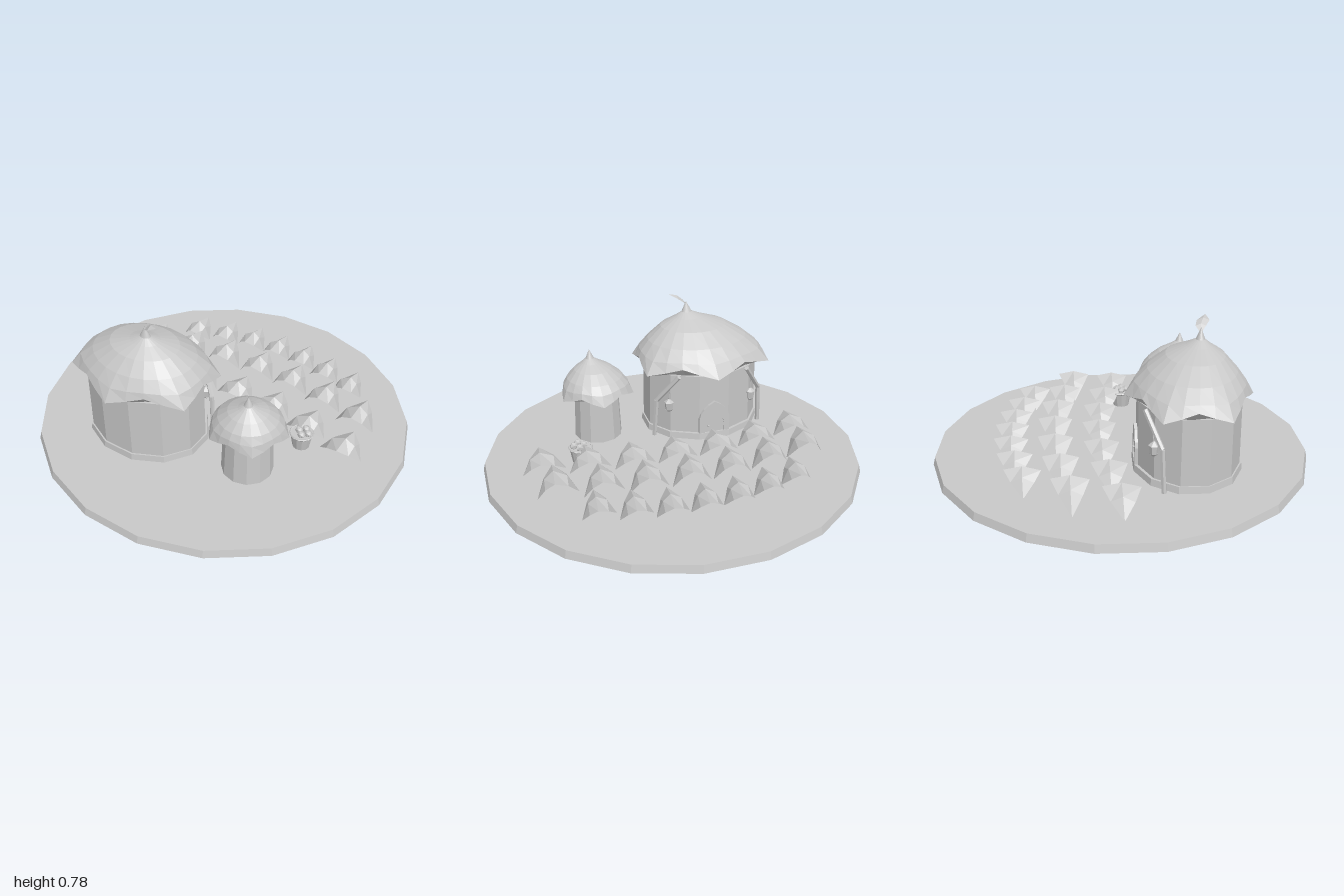
import * as THREE from 'three';

const stone = new THREE.MeshStandardMaterial({ color: 0xc8c8c8, side: THREE.DoubleSide });
stone.name = 'pale grey';

// Faceted mesh: every face gets its own normal
function part(name, geometry, parent, x = 0, y = 0, z = 0) {
  const flat = geometry.index ? geometry.toNonIndexed() : geometry;
  flat.computeVertexNormals();
  const mesh = new THREE.Mesh(flat, stone);
  mesh.name = name;
  mesh.position.set(x, y, z);
  parent.add(mesh);
  return mesh;
}

// Skin between equal-length rows of points
function loft(rows) {
  const n = rows[0].length, index = [];
  for (let i = 0; i < rows.length - 1; i++) {
    for (let j = 0; j < n - 1; j++) {
      const a = i * n + j, c = a + n;
      index.push(a, c, a + 1, a + 1, c, c + 1);
    }
  }
  const geometry = new THREE.BufferGeometry();
  geometry.setAttribute('position', new THREE.Float32BufferAttribute(rows.flat(2), 3));
  geometry.setIndex(index);
  return geometry;
}

// Straight round bar between two points
function bar(name, from, to, radius, parent) {
  const a = new THREE.Vector3(...from), b = new THREE.Vector3(...to);
  const mesh = part(name, new THREE.CylinderGeometry(radius, radius, a.distanceTo(b), 6), parent);
  mesh.position.copy(a).add(b).multiplyScalar(0.5);
  mesh.quaternion.setFromUnitVectors(new THREE.Vector3(0, 1, 0), b.sub(a).normalize());
}

// Lobed thatch: rings of [height, scale, lift at lobe gaps, inset at lobe gaps, lean to apex]
function thatch({ rx, rz, lobes, lean, rings }) {
  const steps = lobes * 4;
  return loft(rings.map(([y, s, lift, inset, t]) =>
    Array.from({ length: steps + 1 }, (_, j) => {
      const a = (j % steps) / steps * Math.PI * 2;
      const gap = Math.abs(Math.sin(a * lobes / 2));
      const r = s * (1 - inset * gap);
      return [lean[0] * t + Math.sin(a) * rx * r, y + lift * gap * gap, lean[1] * t - Math.cos(a) * rz * r];
    }).reverse()));
}

function archShape(w, h, target = new THREE.Shape()) {
  target.moveTo(-w, 0);
  target.lineTo(w, 0);
  target.lineTo(w, h * 0.55);
  target.quadraticCurveTo(w * 0.9, h * 0.82, 0, h);
  target.quadraticCurveTo(-w * 0.9, h * 0.82, -w, h * 0.55);
  return target;
}

// Folded leaf whose two ends droop to the soil:
// sections of [position along, half depth, height share, drop of the edges, shift in z]
function cropLeaf(w, h) {
  const sections = [[-1, 0, 0, 0, 0.008], [-0.45, 0.056, 0.74, 0.027, 0.003], [0.18, 0.09, 1, 0.02, 0],
    [0.62, 0.056, 0.74, 0.027, -0.003], [1, 0, 0, 0, -0.004]];
  return loft(sections.map(([t, half, share, drop, z]) => {
    const x = t * w, y = 0.035 + (h - 0.035) * share, skew = half * 0.08;
    return [[x - skew, y - drop, z + half], [x, y, z], [x + skew, y - drop, z - half]];
  }));
}

export function createModel() {
  const model = new THREE.Group();
  model.name = 'farmyard';

  // Ground disc
  const ground = new THREE.CylinderGeometry(1.002, 1.0125, 0.04, 20);
  ground.rotateY(Math.PI / 20).scale(1, 1, 0.979);
  part('ground', ground, model, 0, 0.02, 0);

  // Big hut
  const hut = new THREE.Group();
  hut.name = 'bigHut';
  hut.position.set(-0.263, 0, 0.325);
  model.add(hut);
  const wall = new THREE.CylinderGeometry(0.323, 0.328, 0.38, 12).rotateY(Math.PI / 12);
  part('hutWall', wall.scale(1, 1, 0.81), hut, 0, 0.225, 0);
  const plinth = new THREE.CylinderGeometry(0.335, 0.34, 0.035, 12).rotateY(Math.PI / 12);
  part('hutPlinth', plinth.scale(1, 1, 0.83), hut, 0, 0.0575, -0.004);
  part('hutRoof', thatch({
    rx: 0.41, rz: 0.322, lobes: 6, lean: [0.065, 0.06],
    rings: [
      [0.412, 0.74, 0, 0, 0], [0.415, 1, 0.05, 0.13, 0], [0.485, 0.865, 0.01, 0.05, 0.1],
      [0.55, 0.69, 0, 0.01, 0.25], [0.615, 0.455, 0, 0, 0.5], [0.655, 0.2, 0, 0, 0.8],
      [0.68, 0.07, 0, 0, 0.95], [0.735, 0.004, 0, 0, 1],
    ],
  }), hut);

  // Curled leaf on the roof tip
  const curl = [[0.06, 0.715, 0.058, 0.004], [0.085, 0.75, 0.06, 0.026],
    [0.115, 0.772, 0.075, 0.032], [0.155, 0.777, 0.09, 0.003]];
  part('roofLeaf', loft(curl.map(([x, y, z, w]) =>
    [[x, y - w * 0.4, z + w], [x, y, z], [x, y - w * 0.4, z - w]])), hut);

  // Door at the back of the big hut
  const surround = archShape(0.088, 0.22);
  surround.holes.push(archShape(0.055, 0.16, new THREE.Path()));
  const slab = (shape, depth) =>
    new THREE.ExtrudeGeometry(shape, { depth, bevelEnabled: false, curveSegments: 4 });
  part('doorFrame', slab(surround, 0.03), hut, 0, 0.042, -0.27);
  part('door', slab(archShape(0.056, 0.161), 0.02), hut, 0, 0.042, -0.264);
  part('doorKnob', new THREE.IcosahedronGeometry(0.007), hut, 0.035, 0.115, -0.268);

  // Bent poles under the eaves with hanging lanterns
  for (const s of [-1, 1]) {
    const elbow = [s * 0.3, 0.26, -0.155];
    bar('poleArm', [s * 0.195, 0.42, -0.23], elbow, 0.013, hut);
    bar('polePost', elbow, [s * 0.312, 0.04, -0.145], 0.013, hut);
    bar('lanternCord', [s * 0.235, 0.36, -0.2], [s * 0.24, 0.265, -0.19], 0.003, hut);
    const lantern = new THREE.Group();
    lantern.name = 'lantern';
    lantern.position.set(s * 0.24, 0.235, -0.19);
    hut.add(lantern);
    part('lanternBody', new THREE.CylinderGeometry(0.025, 0.02, 0.045, 6), lantern);
    part('lanternCap', new THREE.ConeGeometry(0.028, 0.022, 6), lantern, 0, 0.033, 0);
    part('lanternFoot', new THREE.CylinderGeometry(0.021, 0.012, 0.01, 6), lantern, 0, -0.027, 0);
  }

  // Small hut
  const shed = new THREE.Group();
  shed.name = 'smallHut';
  shed.position.set(0.343, 0, 0.31);
  model.add(shed);
  part('shedWall', new THREE.CylinderGeometry(0.122, 0.133, 0.255, 12), shed, 0, 0.1625, 0);
  part('shedRoof', thatch({
    rx: 0.205, rz: 0.2, lobes: 5, lean: [0.023, 0.042],
    rings: [
      [0.287, 0.58, 0, 0, 0], [0.288, 1, 0.038, 0.1, 0], [0.345, 0.89, 0.01, 0.04, 0.1],
      [0.388, 0.74, 0, 0, 0.25], [0.432, 0.5, 0, 0, 0.5], [0.462, 0.25, 0, 0, 0.8],
      [0.482, 0.11, 0, 0, 0.95], [0.53, 0.005, 0, 0, 1],
    ],
  }), shed);

  // Basket of fruit
  const basket = new THREE.Group();
  basket.name = 'basket';
  basket.position.set(0.497, 0.04, 0.025);
  model.add(basket);
  part('basketBody', new THREE.CylinderGeometry(0.06, 0.045, 0.085, 12), basket, 0, 0.0425, 0);
  const rim = new THREE.TorusGeometry(0.06, 0.005, 5, 14).rotateX(Math.PI / 2);
  part('basketRim', rim, basket, 0, 0.083, 0);
  for (let i = 0; i < 4; i++) {
    const a = i / 4 * Math.PI * 2;
    part('fruit', new THREE.IcosahedronGeometry(0.022), basket,
      0.01 + Math.cos(a) * 0.026, 0.096, Math.sin(a) * 0.026);
  }

  // Curved crop rows: spacing, z of the middle plant, half width, height
  const bend = [0, 0.008, 0.04, 0.09];
  const rows = [[0.17, -0.58, 0.086, 0.155], [0.222, -0.35, 0.107, 0.185], [0.233, -0.115, 0.114, 0.158]];
  for (const [step, z, w, h] of rows) {
    for (let i = -3; i <= 3; i++) {
      part('cropLeaf', cropLeaf(w, h), model, i * step, 0, z + bend[Math.abs(i)]);
    }
  }
  return model;
}
